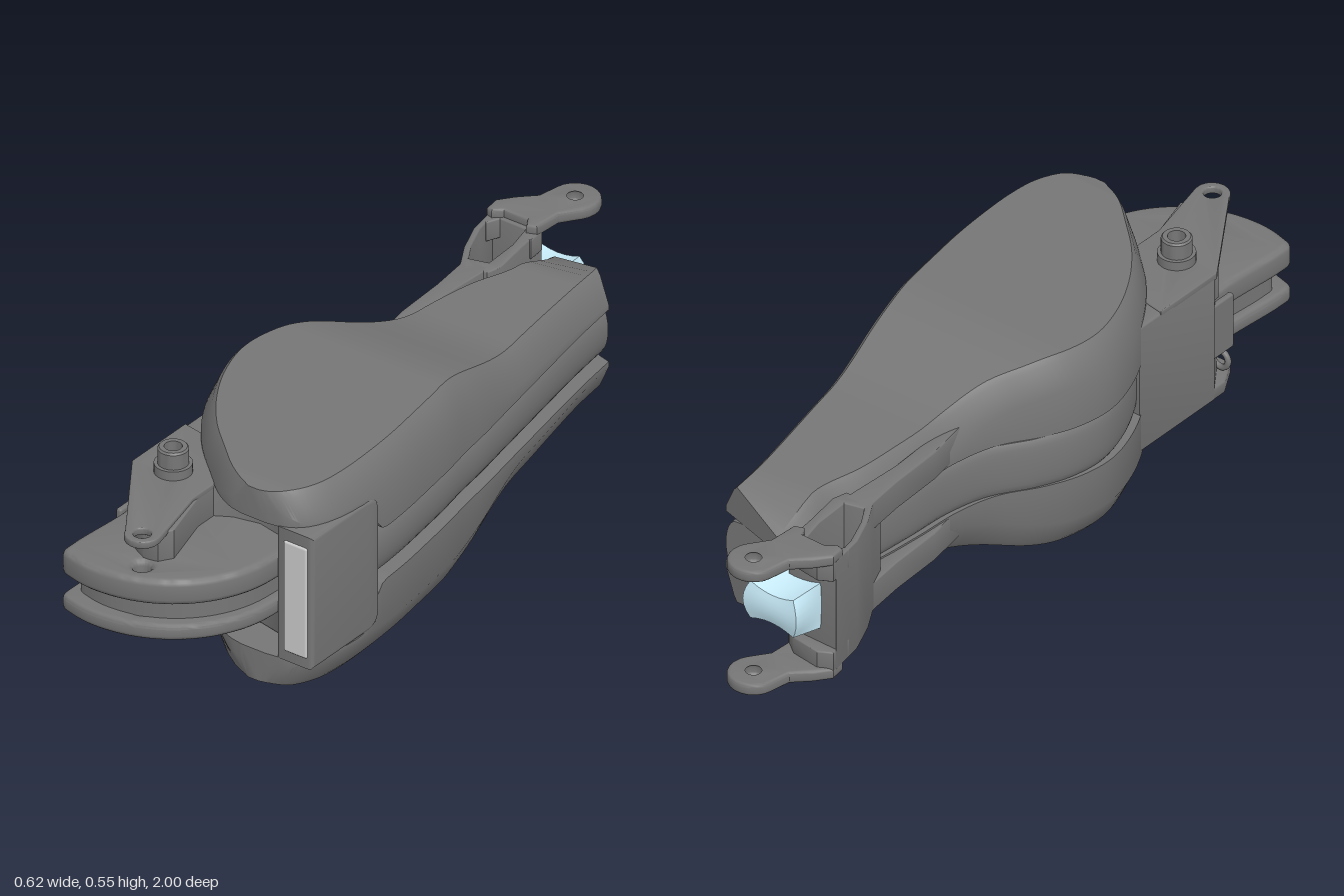
import * as THREE from 'three';
import { toCreasedNormals } from 'three/addons/utils/BufferGeometryUtils.js';
import { RoundedBoxGeometry } from 'three/addons/geometries/RoundedBoxGeometry.js';

const MID = 0.2725; // height of the mirror plane between upper and lower halves
const dark = new THREE.MeshStandardMaterial({ color: 0x767676, side: THREE.DoubleSide });
const pale = new THREE.MeshStandardMaterial({ color: 0xf0f0f0 });
const blue = new THREE.MeshStandardMaterial({ color: 0xc8ecfa });
const step = (v, a, b) => THREE.MathUtils.smoothstep(v, a, b);

function add(group, name, geometry, material = dark) {
  const mesh = new THREE.Mesh(geometry, material);
  mesh.name = name;
  group.add(mesh);
  return mesh;
}

// Skin closed rings (counter-clockwise seen from +z), ordered from back to front
function loft(rings, crease = 0.5) {
  const n = rings[0].length, index = [];
  for (let i = 0; i < rings.length - 1; i++) {
    for (let j = 0; j < n; j++) {
      const k = (j + 1) % n, a = i * n + j, b = i * n + k;
      index.push(a, b, b + n, a, b + n, a + n);
    }
  }
  const last = (rings.length - 1) * n;
  for (let j = 1; j < n - 1; j++) index.push(0, j + 1, j, last, last + j, last + j + 1);
  const geo = new THREE.BufferGeometry();
  geo.setAttribute('position', new THREE.Float32BufferAttribute(rings.flat(2), 3));
  geo.setIndex(index);
  return toCreasedNormals(geo.toNonIndexed(), crease);
}

// Horizontal plate from an [x, z] outline, between two heights
function plate(outline, y0, y1, { holes = [], bevel = 0.006, smooth = false } = {}) {
  let pts = outline.map(([x, z]) => new THREE.Vector2(x, -z));
  if (smooth) {
    const curve = new THREE.CatmullRomCurve3(pts.map(p => new THREE.Vector3(p.x, p.y, 0)), true, 'centripetal');
    pts = curve.getPoints(70).slice(0, -1).map(p => new THREE.Vector2(p.x, p.y));
  }
  const shape = new THREE.Shape(pts);
  for (const [x, z, r] of holes) shape.holes.push(new THREE.Path().absarc(x, -z, r, 0, Math.PI * 2, true));
  const geo = new THREE.ExtrudeGeometry(shape, {
    depth: y1 - y0 - 2 * bevel, bevelThickness: bevel, bevelSize: bevel, bevelOffset: -bevel,
    bevelSegments: 3, bevelEnabled: bevel > 0, curveSegments: 20,
  });
  geo.rotateX(-Math.PI / 2).translate(0, y0 + bevel, 0);
  return toCreasedNormals(geo, 0.6);
}

// Plan of the limb: right edge, left edge, z
const plan = new THREE.CatmullRomCurve3([
  [0.13, -0.12, -0.71], [0.145, -0.115, -0.6], [0.165, -0.145, -0.48], [0.19, -0.16, -0.34],
  [0.215, -0.17, -0.2], [0.235, -0.2, -0.09], [0.25, -0.262, 0.01], [0.267, -0.3, 0.1],
  [0.282, -0.312, 0.2], [0.297, -0.285, 0.31], [0.305, -0.23, 0.42], [0.306, -0.155, 0.52],
  [0.295, -0.07, 0.6], [0.265, 0, 0.66], [0.225, 0.055, 0.69], [0.17, 0.1, 0.7],
].map(p => new THREE.Vector3(...p)), false, 'centripetal');

// Armoured side shell with chamfered rim; lower copy is mirrored about MID
function shell(lower) {
  const rings = [];
  for (let i = 0; i <= 80; i++) {
    const { x: r, y: l, z } = plan.getPoint(i / 80);
    const front = step(z, 0.66, 0.7);
    const top = 0.44 + 0.018 * step(z, -0.7, -0.25) + 0.087 * step(z, -0.3, 0.08) - 0.005 * front;
    const base = 0.345 + 0.11 * step(z, 0.4, 0.5);
    const c = Math.min(0.045, (r - l) * 0.28);
    const rim = Math.max(top - 0.08 + 0.03 * front, base + 0.004), tail = 1 - step(z, -0.71, -0.62);
    const ring = [[r, base], [r, rim], [r - c * 0.72, top - 0.014], [r - c, top],
      [l + c, top - 0.05 * tail], [l + c * 0.72, top - 0.014 - 0.045 * tail], [l, rim - 0.01 * tail], [l, base]]
      .map(([x, y]) => [x, lower ? 2 * MID - y : y, z - 0.28 * (r - x) * tail]);
    rings.push(lower ? ring.reverse() : ring);
  }
  return loft(rings);
}

// Rounded spar filling the channel: slightly recessed on the right, flush and flatter on the left
function core() {
  const rings = [];
  for (let i = 0; i <= 60; i++) {
    const { x: r, y: l, z } = plan.getPoint(i / 60 * 0.72), ring = [];
    for (let s = 0; s < 2; s++) {
      for (let k = 0; k <= 12; k++) {
        const a = (k / 12 - 0.5) * Math.PI, bulge = Math.max(Math.cos(a), 0) ** (s ? 0.5 : 0.8);
        const x = s ? l + 0.025 - 0.024 * bulge : r - 0.055 + 0.038 * bulge;
        ring.push([x, MID + (s ? -1 : 1) * 0.073 * Math.sin(a), z - 0.02]);
      }
    }
    rings.push(ring);
  }
  return loft(rings, 0.7);
}

// Corner block, rounded at its rear corners
function cornerBlock() {
  const s = new THREE.Shape(), y0 = 0.09, y1 = 0.458, r = 0.05, b = 0.012;
  s.moveTo(-0.697, y0).lineTo(-0.43 - r, y0).quadraticCurveTo(-0.43, y0, -0.43, y0 + r);
  s.lineTo(-0.43, y1 - r).quadraticCurveTo(-0.43, y1, -0.43 - r, y1).lineTo(-0.697, y1);
  const geo = new THREE.ExtrudeGeometry(s, { depth: 0.11 - 2 * b, bevelThickness: b, bevelSize: b, bevelOffset: -b, bevelSegments: 3 });
  return toCreasedNormals(geo.rotateY(Math.PI / 2).translate(0.2 + b, 0, 0), 0.6);
}

// Front joint: grooved disc, body, tabs and pivot pins
function frontJoint() {
  const g = new THREE.Group();
  g.name = 'frontJoint';
  const pivot = [-0.145, 0.65, 0.022], bore = [-0.03, 0.92, 0.022], holes = [pivot, bore];
  const disc = [[-0.225, 0.5], [-0.218, 0.75], [-0.23, 0.93], [-0.225, 0.975], [-0.19, 0.99], [-0.12, 1], [-0.02, 0.985],
    [0.07, 0.94], [0.14, 0.87], [0.185, 0.78], [0.2, 0.68], [0.19, 0.5]];
  add(g, 'upperDisc', plate(disc, 0.3, 0.37, { holes, bevel: 0.016, smooth: true }));
  add(g, 'lowerDisc', plate(disc, 0.203, 0.246, { holes, bevel: 0.012, smooth: true }));
  add(g, 'discGroove', plate(disc.map(([x, z]) => [-0.02 + (x + 0.02) * 0.88, 0.5 + (z - 0.5) * 0.92]),
    0.235, 0.31, { holes, bevel: 0, smooth: true }));
  // body with a concave front face under the shells
  const body = [[-0.25, 0.38], [-0.25, 0.66], [-0.2, 0.73], [-0.11, 0.71], [-0.05, 0.65], [0.01, 0.615],
    [0.08, 0.6], [0.15, 0.615], [0.22, 0.66], [0.24, 0.4]];
  add(g, 'jointBody', plate(body, 0.09, 0.455, { holes: [pivot], bevel: 0.008 }));
  add(g, 'lowerLedge', plate([[-0.25, 0.45], [-0.25, 0.7], [-0.21, 0.77], [-0.13, 0.77], [-0.07, 0.71], [-0.03, 0.6]],
    0.09, 0.13, { holes: [pivot], bevel: 0.01 }));
  add(g, 'tabRib', plate([[-0.24, 0.5], [-0.23, 0.7], [-0.09, 0.87], [-0.05, 0.89], [-0.01, 0.885], [0.012, 0.85], [-0.03, 0.7], [-0.03, 0.5]],
    0.36, 0.45, { holes: [pivot], bevel: 0.004 }));
  const tab = [[-0.25, 0.46], [-0.25, 0.67], [-0.07, 0.935]];
  for (let i = 0; i <= 8; i++) {
    const a = Math.PI * (0.85 - i / 8 * 0.9);
    tab.push([-0.03 + 0.045 * Math.cos(a), 0.918 + 0.045 * Math.sin(a)]);
  }
  tab.push([-0.03, 0.72], [-0.03, 0.5]);
  add(g, 'topTab', plate(tab, 0.44, 0.46, { holes, bevel: 0.004 }));
  // hollow pivot pins above and below
  for (const s of [1, -1]) {
    const pin = [[0.022, 0.15], [0.047, 0.15], [0.047, 0.212], [0.038, 0.212], [0.038, 0.252], [0.034, 0.257], [0.022, 0.257], [0.022, 0.15]]
      .map(([r, y]) => new THREE.Vector2(r, s * y));
    add(g, s > 0 ? 'upperPin' : 'lowerPin', toCreasedNormals(new THREE.LatheGeometry(pin, 28), 0.6))
      .position.set(-0.142, MID, 0.65);
  }
  add(g, 'sidePlate', new RoundedBoxGeometry(0.016, 0.155, 0.2, 2, 0.006)).position.set(-0.238, 0.283, 0.64);
  add(g, 'socketRing', new THREE.TorusGeometry(0.024, 0.008, 10, 24)).position.set(-0.215, 0.165, 0.725);
  return g;
}

// Rear hinge: paired lugs, outer and inner webs, and the insert between them
function rearHinge() {
  const g = new THREE.Group();
  g.name = 'rearHinge';
  const lug = [[-0.28, -0.77], [-0.285, -0.81], [-0.255, -0.85], [-0.215, -0.89]];
  for (let i = 0; i <= 12; i++) {
    const a = Math.PI * (1.05 + i / 12 * 1.15);
    lug.push([-0.142 + 0.064 * Math.cos(a), -0.936 + 0.064 * Math.sin(a)]);
  }
  lug.push([-0.125, -0.85], [-0.13, -0.77], [-0.155, -0.76], [-0.17, -0.785], [-0.24, -0.785], [-0.262, -0.765]);
  const root = [[-0.275, -0.74], [-0.285, -0.81], [-0.25, -0.83], [-0.17, -0.82], [-0.13, -0.79], [-0.125, -0.74],
    [-0.15, -0.74], [-0.17, -0.785], [-0.24, -0.785], [-0.26, -0.74]];
  // thin fin running forward along the edge of each shell
  const fin = [[-0.2, -0.58], [-0.185, -0.45], [-0.178, -0.3], [-0.158, -0.18], [-0.13, -0.22], [-0.14, -0.4], [-0.13, -0.58]];
  const halves = { upper: (a, b) => [a, b], lower: (a, b) => [2 * MID - b, 2 * MID - a] };
  for (const [name, span] of Object.entries(halves)) {
    add(g, name + 'Lug', plate(lug, ...span(0.421, 0.453), { holes: [[-0.142, -0.936, 0.028]], bevel: 0.008 }));
    add(g, name + 'LugRoot', plate(root, ...span(0.375, 0.43), { bevel: 0.004 }));
    add(g, name + 'Fin', plate(fin, ...span(0.35, 0.43), { bevel: 0.004 }));
  }
  const outer = [[-0.285, -0.8], [-0.268, -0.7], [-0.235, -0.62], [-0.2, -0.56], [-0.175, -0.5],
    [-0.14, -0.5], [-0.145, -0.56], [-0.195, -0.585], [-0.225, -0.635], [-0.255, -0.71], [-0.268, -0.78]];
  add(g, 'outerWeb', plate(outer, 0.115, 0.43, { bevel: 0.004 }));
  const inner = [[-0.17, -0.785], [-0.15, -0.7], [-0.145, -0.6], [-0.2, -0.585], [-0.2, -0.56], [-0.12, -0.56],
    [-0.11, -0.6], [-0.125, -0.7], [-0.135, -0.785]];
  add(g, 'innerWeb', plate(inner, 0.115, 0.43, { bevel: 0.004 }));
  add(g, 'rearWall', plate([[-0.28, -0.775], [-0.28, -0.795], [-0.135, -0.795], [-0.135, -0.775]], 0.115, 0.43, { bevel: 0.004 }));
  // waisted, tapering insert
  const block = new THREE.BoxGeometry(0.165, 0.135, 0.12, 6, 6, 6);
  const p = block.attributes.position;
  for (let i = 0; i < p.count; i++) {
    const u = p.getX(i) / 0.0825, w = p.getZ(i) / 0.06, v = p.getY(i) / 0.0675;
    p.setY(i, p.getY(i) * (0.9 + 0.1 * w) * (0.75 + 0.25 * u * u));
    p.setX(i, p.getX(i) * (1 - 0.2 * v * v * (1 - w) / 2));
    p.setZ(i, p.getZ(i) * (1 - 0.15 * v * v));
  }
  add(g, 'insert', toCreasedNormals(block, 0.7), blue).position.set(-0.153, 0.277, -0.83);
  return g;
}

export function createModel() {
  const model = new THREE.Group();
  model.name = 'armouredLimb';
  add(model, 'upperShell', shell(false));
  add(model, 'lowerShell', shell(true));
  add(model, 'coreSpar', core());
  add(model, 'cornerBlock', cornerBlock());
  add(model, 'frontPanel', new RoundedBoxGeometry(0.07, 0.308, 0.02, 2, 0.006), pale).position.set(0.26, MID, 0.692);
  model.add(frontJoint(), rearHinge());
  return model;
}
